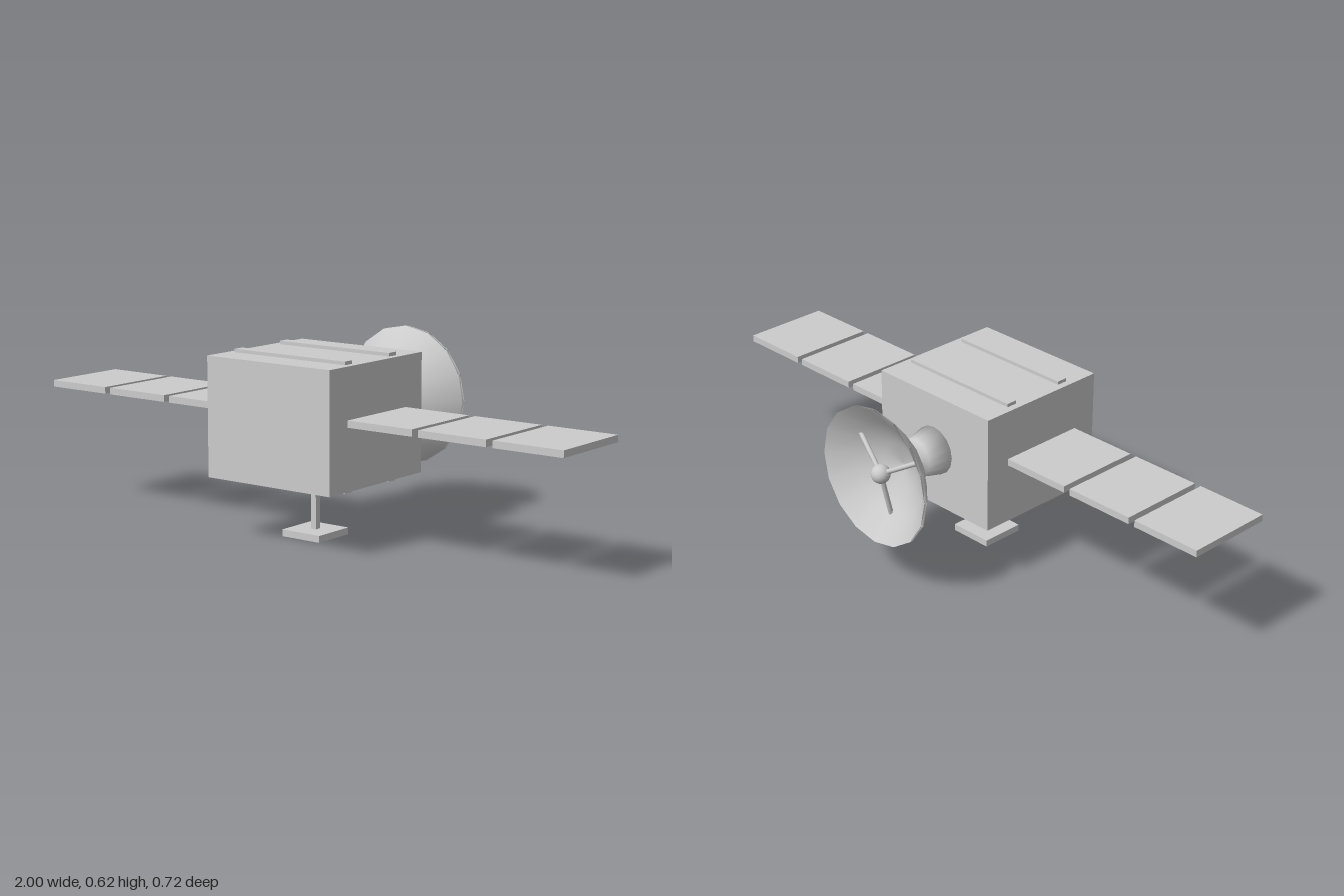
import * as THREE from 'three';

export function createModel() {
  const group = new THREE.Group();
  group.name = 'satellite';
  const grey = new THREE.MeshStandardMaterial({ color: 0xcccccc });

  const add = (name, geometry) => {
    const mesh = new THREE.Mesh(geometry, grey);
    mesh.name = name;
    group.add(mesh);
    return mesh;
  };
  // box given by its minimum and maximum on each axis
  const box = (name, [x0, x1], [y0, y1], [z0, z1]) =>
    add(name, new THREE.BoxGeometry(x1 - x0, y1 - y0, z1 - z0))
      .position.set((x0 + x1) / 2, (y0 + y1) / 2, (z0 + z1) / 2);
  // turned part whose axis points backwards (-z); profile is [radius, depth]
  const axisY = 0.387;
  const turned = (name, profile, z) => {
    const points = profile.map(([r, d]) => new THREE.Vector2(r, d));
    const geometry = new THREE.LatheGeometry(points, 16).rotateX(-Math.PI / 2);
    add(name, geometry).position.set(0, axisY, z);
  };

  // main body
  box('body', [-0.24, 0.24], [0.195, 0.579], [-0.106, 0.362]);

  // raised rails on the top and bottom of the body
  for (const z of [0, 0.222]) {
    box('topRail', [-0.217, 0.217], [0.575, 0.59], [z, z + 0.036]);
    box('bottomRail', [-0.217, 0.217], [0.184, 0.2], [z, z + 0.036]);
  }

  // three solar panels on each side
  for (const side of [-1, 1]) {
    for (let i = 0; i < 3; i++) {
      const x = side * (0.36 + i * 0.2605);
      box('solarPanel', [x - 0.119, x + 0.119], [0.394, 0.416], [-0.02, 0.277]);
    }
  }

  // mast and square foot below the body
  box('mast', [-0.01, 0.01], [0.02, 0.2], [0.118, 0.139]);
  box('foot', [-0.074, 0.074], [0, 0.022], [0.055, 0.203]);

  // tapered dish mount, softly shaded over its ends
  turned('dishMount', [[0, 0], [0.081, 0], [0.0625, 0.077], [0, 0.077]], -0.106);

  // dish shell: outside up to the rim, then back down the inside
  const outer = [[0, 0], [0.075, 0.015], [0.152, 0.056], [0.229, 0.125]];
  const inner = outer.map(([r, d]) => [r, d + 0.013]).reverse();
  turned('dish', [...outer, ...inner], -0.223);

  // feed ball held by three struts
  const feedZ = -0.33;
  add('feedBall', new THREE.SphereGeometry(0.031, 16, 12)).position.set(0, axisY, feedZ);
  for (let i = 0; i < 3; i++) {
    const a = Math.PI / 6 + (i * 2 * Math.PI) / 3;
    const start = new THREE.Vector3(0, axisY, feedZ);
    const end = new THREE.Vector3(0.155 * Math.cos(a), axisY + 0.155 * Math.sin(a), -0.29);
    const path = new THREE.LineCurve3(start, end);
    add('feedStrut', new THREE.TubeGeometry(path, 1, 0.008, 8));
  }

  return group;
}
